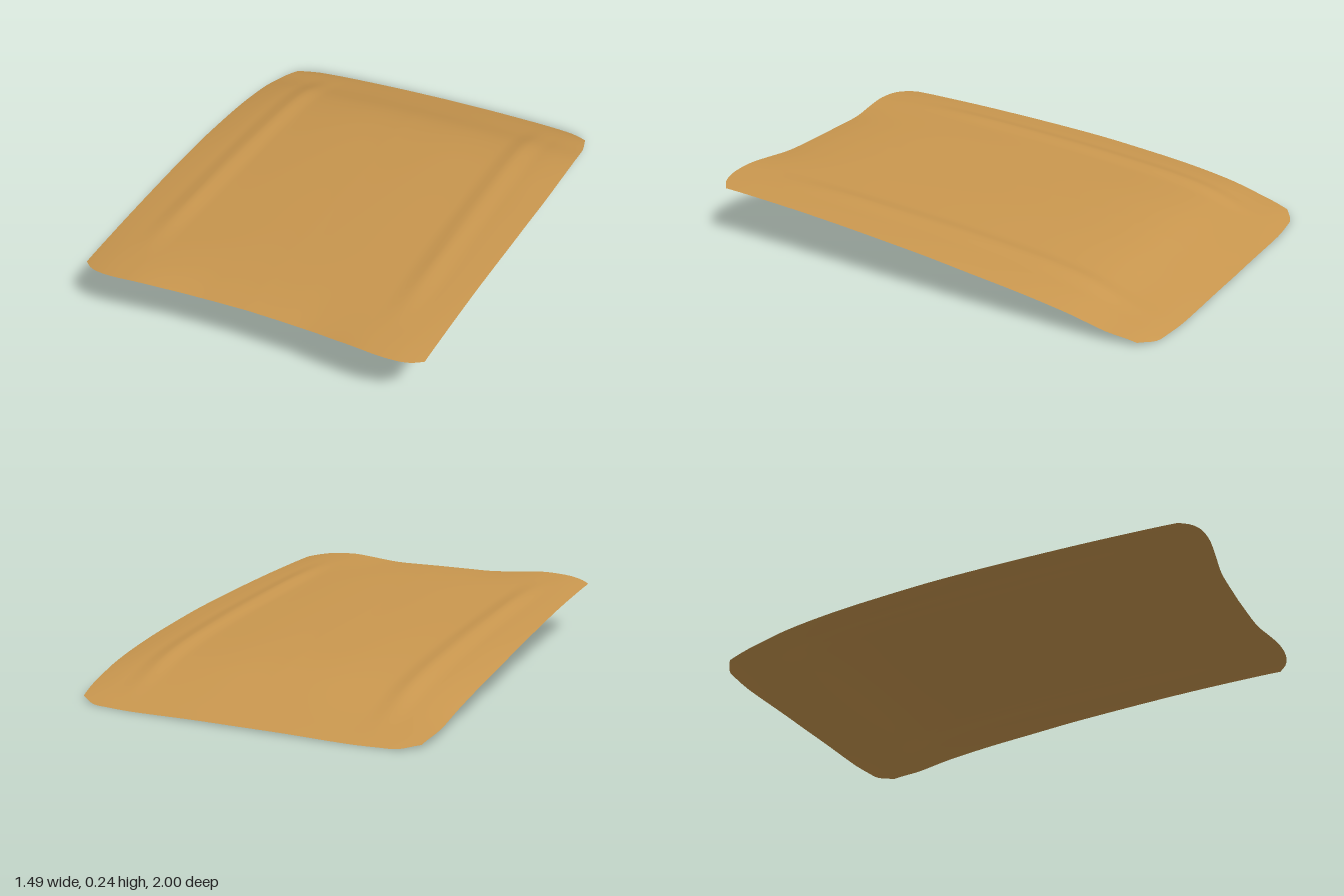
import * as THREE from 'three';

// Smooth interpolation through [position, value] points
function curve(points) {
  const n = points.length;
  const slope = (i) => {
    const a = points[Math.max(i - 1, 0)], b = points[Math.min(i + 1, n - 1)];
    return (b[1] - a[1]) / (b[0] - a[0]);
  };
  return (p) => {
    let i = 0;
    while (i < n - 2 && p > points[i + 1][0]) i++;
    const [x0, y0] = points[i], [x1, y1] = points[i + 1];
    const d = x1 - x0, t = THREE.MathUtils.clamp((p - x0) / d, 0, 1);
    const t2 = t * t, t3 = t2 * t;
    return y0 * (2 * t3 - 3 * t2 + 1) + y1 * (3 * t2 - 2 * t3)
      + d * (slope(i) * (t3 - 2 * t2 + t) + slope(i + 1) * (t3 - t2));
  };
}

// Plan outline: half width along the length, end edges across the width
const halfWidth = curve([[0, 0.71], [0.07, 0.735], [0.28, 0.745], [0.5, 0.737], [0.75, 0.718], [1, 0.7]]);
const backEdge = curve([[0, -1], [0.62, -0.995], [0.8, -0.985], [0.9, -0.973], [1, -0.93]]);
const frontEdge = curve([[0, 0.96], [0.35, 0.967], [0.55, 0.985], [0.72, 0.998], [0.85, 0.995], [0.94, 0.975], [1, 0.94]]);

// Height of the centre line, and how far the sides fall below it
const centre = curve([[-1, 0.014], [-0.93, 0.036], [-0.8, 0.078], [-0.65, 0.13], [-0.5, 0.16], [-0.3, 0.183],
  [0, 0.207], [0.45, 0.235], [0.85, 0.257], [1, 0.262]]);
const sideDrop = curve([[-1, 0.024], [-0.93, 0.014], [-0.8, 0.026], [-0.6, 0.044], [-0.3, 0.042], [0, 0.033], [0.5, 0.028], [1, 0.034]]);
const crossFall = curve([[0, 0], [0.3, 0.06], [0.6, 0.28], [0.72, 0.38], [0.85, 0.55], [0.95, 0.82], [1, 1]]);

const { smoothstep } = THREE.MathUtils;

function height(u, x, z) {
  // Raised crease near each side, fading out at both ends
  const fade = smoothstep(z, -0.95, -0.55) * (1 - smoothstep(z, 0.4, 0.9));
  const crease = 0.012 * fade * Math.max(0, 1 - Math.abs(x - 0.525) / 0.065);
  // Middle of the front edge rolls down
  const lip = 0.022 * Math.max(0, (z - 0.4) / 0.56) ** 3 * (1 - smoothstep(x, 0.18, 0.5));
  return centre(z) - sideDrop(z) * crossFall(u) + crease - lip;
}

export function createModel() {
  const group = new THREE.Group();
  group.name = 'curvedPanel';

  const paint = new THREE.MeshStandardMaterial({ color: 0xc8964e, side: THREE.DoubleSide });
  paint.name = 'ochre paint';

  const geometry = new THREE.PlaneGeometry(2, 2, 80, 64);
  geometry.rotateX(-Math.PI / 2);
  const pos = geometry.attributes.position;
  for (let i = 0; i < pos.count; i++) {
    const u = pos.getX(i), a = Math.abs(u);
    const v = (pos.getZ(i) + 1) / 2;
    const x = u * halfWidth(v);
    const z = THREE.MathUtils.lerp(backEdge(a), frontEdge(a), v);
    pos.setXYZ(i, x, Math.max(0, height(a, Math.abs(x), z)), z);
  }
  geometry.computeVertexNormals();

  const panel = new THREE.Mesh(geometry, paint);
  panel.name = 'panel';
  group.add(panel);
  return group;
}
